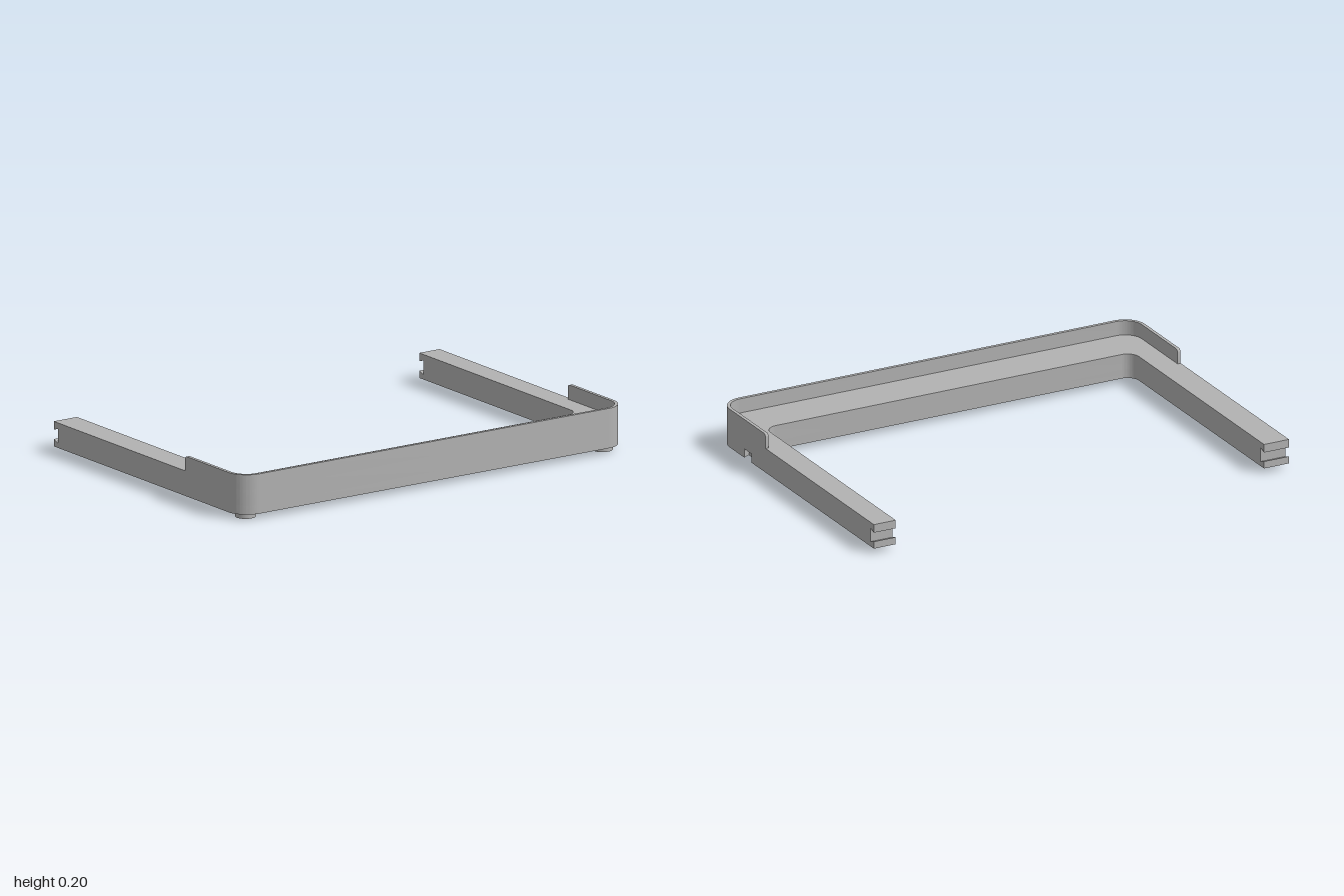
import * as THREE from 'three';
import { toCreasedNormals } from 'three/addons/utils/BufferGeometryUtils.js';

const XMIN = -0.69, XMAX = 0.69, SLOT_X = -0.66;
const BASE = 0.025, DECK = 0.135, RIM = 0.2;
const R = 0.095, WALL = 0.015;
const LIP_X = 0.275, LIP_R = 0.015;
const BACK_IN = -0.895, FRONT_IN = 0.88; // inner faces of the two arms

// Outer edge of the U, traced from the back arm round to the front arm
function outerEdge(shape, startX, notch) {
  shape.moveTo(startX, -1);
  if (notch) notch.forEach(([x, z]) => shape.lineTo(x, z));
  shape.lineTo(XMAX - R, -1);
  shape.absarc(XMAX - R, -1 + R, R, -Math.PI / 2, 0, false);
  shape.lineTo(XMAX, 1 - R);
  shape.absarc(XMAX - R, 1 - R, R, 0, Math.PI / 2, false);
  shape.lineTo(startX, 1);
}

// Inner edge of the U, traced back from the front arm to the back arm
function innerEdge(shape, startX, x, zFront, zBack, r) {
  shape.lineTo(startX, zFront);
  shape.lineTo(x - r, zFront);
  shape.absarc(x - r, zFront - r, r, Math.PI / 2, 0, true);
  shape.lineTo(x, zBack + r);
  shape.absarc(x - r, zBack + r, r, 0, -Math.PI / 2, true);
  shape.lineTo(startX, zBack);
  shape.closePath();
}

// Extrude a plan drawn in x and z between two heights
function slab(shape, y0, y1) {
  const g = new THREE.ExtrudeGeometry(shape, { depth: y1 - y0, bevelEnabled: false, curveSegments: 14 });
  g.rotateX(Math.PI / 2);
  g.translate(0, y1, 0);
  return toCreasedNormals(g, 0.6);
}

// Extrude a side profile drawn in x and y between two z positions
function profile(shape, z0, z1) {
  const g = new THREE.ExtrudeGeometry(shape, { depth: z1 - z0, bevelEnabled: false, curveSegments: 6 });
  g.translate(0, 0, z0);
  return toCreasedNormals(g, 0.6);
}

export function createModel() {
  const group = new THREE.Group();
  const grey = new THREE.MeshStandardMaterial({ color: 0xb2b2b2 });
  grey.name = 'plainGrey';
  const add = (name, geometry) => {
    const mesh = new THREE.Mesh(geometry, grey);
    mesh.name = name;
    group.add(mesh);
    return mesh;
  };

  // U-shaped frame: the lower layer carries a dovetail pocket in the back face
  const pocket = [[0.4, -1], [0.385, -0.97], [0.48, -0.97], [0.465, -1]];
  const pocketTop = 0.065;
  const lower = new THREE.Shape();
  outerEdge(lower, SLOT_X, pocket);
  innerEdge(lower, SLOT_X, 0.48, FRONT_IN, BACK_IN, 0.055);
  add('lowerFrame', slab(lower, BASE, pocketTop));

  const upper = new THREE.Shape();
  outerEdge(upper, SLOT_X);
  innerEdge(upper, SLOT_X, 0.48, FRONT_IN, BACK_IN, 0.055);
  add('upperFrame', slab(upper, pocketTop, DECK));

  // Thin raised lip round the outside
  const lip = new THREE.Shape();
  outerEdge(lip, LIP_X + LIP_R);
  innerEdge(lip, LIP_X + LIP_R, XMAX - WALL, 1 - WALL, -1 + WALL, R - WALL);
  add('rimLip', slab(lip, DECK, RIM));

  // Rounded ends of the lip
  const lipEnd = new THREE.Shape();
  lipEnd.moveTo(LIP_X, DECK);
  lipEnd.lineTo(LIP_X + LIP_R, DECK);
  lipEnd.lineTo(LIP_X + LIP_R, RIM);
  lipEnd.absarc(LIP_X + LIP_R, RIM - LIP_R, LIP_R, Math.PI / 2, Math.PI, false);
  lipEnd.closePath();

  // Prongs above and below the dovetail slot at the arm ends
  const prong = (yOuter, yMouth, ySlot) => new THREE.Shape([
    new THREE.Vector2(XMIN, yOuter), new THREE.Vector2(SLOT_X, yOuter),
    new THREE.Vector2(SLOT_X, ySlot), new THREE.Vector2(XMIN, yMouth),
  ]);
  const topProng = prong(DECK, 0.098, 0.109);
  const bottomProng = prong(BASE, 0.057, 0.046);

  const sides = [
    { side: 'front', arm: [FRONT_IN, 1], lipZ: [1 - WALL, 1], footZ: 0.925 },
    { side: 'back', arm: [-1, BACK_IN], lipZ: [-1, -1 + WALL], footZ: -0.925 },
  ];
  for (const { side, arm, lipZ, footZ } of sides) {
    add(side + 'LipEnd', profile(lipEnd, ...lipZ));
    add(side + 'TopProng', profile(topProng, ...arm));
    add(side + 'BottomProng', profile(bottomProng, ...arm));
    // Round foot under each corner
    const foot = add(side + 'Foot', new THREE.CylinderGeometry(0.044, 0.044, BASE, 32));
    foot.position.set(0.615, BASE / 2, footZ);
  }
  return group;
}
